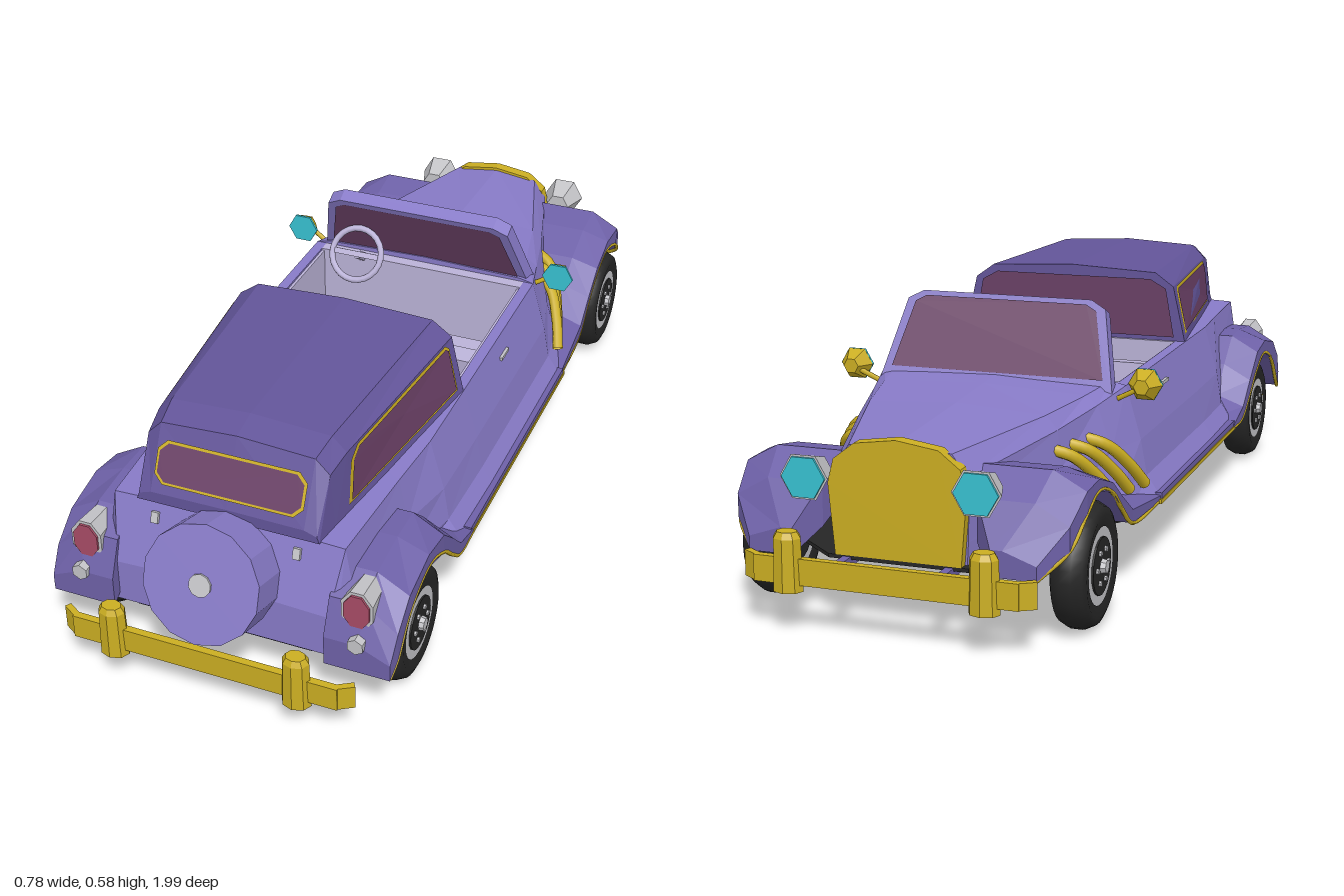
import * as THREE from 'three';

const mat = (name, color, side = THREE.FrontSide) => {
  const m = new THREE.MeshStandardMaterial({ color, side });
  m.name = name;
  return m;
};

export function createModel() {
  const body = mat('purple paint', 0x887bc8);
  const wing = mat('fender purple', 0x6e61a8);
  const top = mat('dark purple roof', 0x63559a);
  const gold = mat('gold trim', 0xcbae22, THREE.DoubleSide);
  const glass = mat('plum glass', 0x6a4066, THREE.DoubleSide);
  const black = mat('black rubber', 0x262626);
  const chrome = mat('light grey metal', 0xc4c4c8);
  const teal = mat('teal lens', 0x38c2d2);
  const red = mat('red lens', 0xa84c66);
  const trim = mat('lavender interior', 0xbbb3d8);
  const car = new THREE.Group();
  car.name = 'convertible';

  const add = (name, geo, m, pos = [0, 0, 0], rot = [0, 0, 0], parent = car) => {
    const mesh = new THREE.Mesh(geo, m);
    mesh.name = name;
    mesh.position.set(...pos);
    mesh.rotation.set(...rot);
    parent.add(mesh);
    return mesh;
  };
  const box = (name, size, m, pos, rot, parent) => add(name, new THREE.BoxGeometry(...size), m, pos, rot, parent);
  const flat = (geo) => {
    const g = geo.toNonIndexed();
    g.computeVertexNormals();
    return g;
  };
  const disc = (r1, r2, h, n, spin = 0) => flat(new THREE.CylinderGeometry(r1, r2, h, n).rotateY(spin).rotateX(Math.PI / 2));
  const tube = (pts, r, n = 24, sides = 6) =>
    new THREE.TubeGeometry(new THREE.CatmullRomCurve3(pts.map((p) => new THREE.Vector3(...p)), false, 'centripetal'), n, r, sides);
  const fromTriangles = (tris) => {
    const g = new THREE.BufferGeometry();
    g.setAttribute('position', new THREE.Float32BufferAttribute(tris.flat(), 3));
    g.computeVertexNormals();
    return g;
  };
  const centre = (ring) => [0, 1, 2].map((k) => ring.reduce((a, p) => a + p[k], 0) / ring.length);

  // Skin over rings listed from +z to -z, each anticlockwise as seen from +z; s = -1 mirrors in x
  const loft = (rings, s = 1, caps = true) => {
    const t = [];
    const tri = (a, b, c) => t.push(...(s > 0 ? [a, b, c] : [a, c, b]).map((p) => [p[0] * s, p[1], p[2]]));
    const n = rings[0].length;
    for (let i = 0; i < n; i++) {
      const j = (i + 1) % n;
      for (let r = 0; r + 1 < rings.length; r++) {
        const a = rings[r], b = rings[r + 1];
        tri(a[i], b[i], b[j]);
        tri(a[i], b[j], a[j]);
      }
      if (caps) {
        const first = rings[0], last = rings[rings.length - 1];
        tri(centre(first), first[i], first[j]);
        tri(centre(last), last[j], last[i]);
      }
    }
    return fromTriangles(t);
  };
  // Symmetric ring from a right-hand profile that ends on the centre line
  const ring = (z, half) => [
    ...half.map(([x, y]) => [x, y, z]),
    ...half.slice(0, -1).reverse().map(([x, y]) => [-x, y, z])];

  // Rear body, cockpit sides and bonnet
  add('rearBody', loft([
    ring(0.875, [[0.25, 0.15], [0.255, 0.18], [0.255, 0.2], [0.24, 0.25], [0, 0.26]]),
    ring(0.825, [[0.27, 0.15], [0.275, 0.2], [0.275, 0.3], [0.26, 0.395], [0, 0.405]]),
    ring(0.57, [[0.29, 0.15], [0.295, 0.2], [0.295, 0.29], [0.275, 0.395], [0, 0.405]]),
    ring(0.42, [[0.37, 0.15], [0.335, 0.2], [0.322, 0.28], [0.288, 0.398], [0, 0.405]]),
    ring(0.21, [[0.375, 0.15], [0.34, 0.2], [0.325, 0.28], [0.29, 0.4], [0, 0.405]])]), body);
  const tub = [[0.375, 0.15], [0.34, 0.2], [0.325, 0.28], [0.29, 0.4], [0.265, 0.4], [0.265, 0.2], [0, 0.2]];
  add('cockpitSides', loft([ring(0.21, tub), ring(-0.3, tub)], 1, false), body);
  add('bonnet', loft([
    ring(-0.3, [[0.375, 0.15], [0.34, 0.2], [0.325, 0.28], [0.29, 0.4], [0.255, 0.408], [0, 0.415]]),
    ring(-0.42, [[0.34, 0.15], [0.32, 0.2], [0.295, 0.28], [0.262, 0.38], [0.235, 0.4], [0, 0.41]]),
    ring(-0.58, [[0.235, 0.15], [0.235, 0.2], [0.235, 0.28], [0.225, 0.36], [0.2, 0.39], [0, 0.402]]),
    ring(-0.88, [[0.14, 0.15], [0.143, 0.2], [0.145, 0.28], [0.143, 0.33], [0.11, 0.375], [0, 0.39]])]), body);

  // Underbody
  const pan = new THREE.Shape([[0.2, 0.87], [0.285, 0.72], [0.285, 0.52], [0.36, 0.43], [0.36, -0.45], [0.28, -0.56], [0.27, -0.8], [0.15, -0.9],
    [-0.15, -0.9], [-0.27, -0.8], [-0.28, -0.56], [-0.36, -0.45], [-0.36, 0.43], [-0.285, 0.52], [-0.285, 0.72], [-0.2, 0.87]].map((p) => new THREE.Vector2(...p)));
  add('underbody', new THREE.ExtrudeGeometry(pan, { depth: 0.008, bevelEnabled: false }).rotateX(Math.PI / 2), black, [0, 0.152, 0]);

  // Hardtop, narrowing to the rear
  add('hardtop', loft([
    ring(0.83, [[0.205, 0.395], [0.2, 0.41], [0.172, 0.42], [0, 0.422]]),
    ring(0.765, [[0.213, 0.395], [0.203, 0.52], [0.172, 0.552], [0, 0.562]]),
    ring(0.7, [[0.222, 0.395], [0.212, 0.535], [0.18, 0.567], [0, 0.577]]),
    ring(0.21, [[0.29, 0.395], [0.258, 0.535], [0.212, 0.568], [0, 0.578]])]), top);
  const panel = (pts, z) => new THREE.ShapeGeometry(new THREE.Shape(pts.map(([x, y]) => new THREE.Vector2(x, y)))).translate(0, 0, z);
  add('dividerGlass', panel([[-0.262, 0.41], [0.262, 0.41], [0.24, 0.53], [0.2, 0.552], [-0.2, 0.552], [-0.24, 0.53]], 0.206), glass);

  // Rear window
  const rearWindow = new THREE.Group();
  rearWindow.name = 'rearWindow';
  rearWindow.position.set(0, 0.483, 0.802);
  rearWindow.rotation.x = -0.44;
  car.add(rearWindow);
  const chamfered = (w, h, c) => [[w, -h + c], [w, h - c], [w - c, h], [c - w, h], [-w, h - c], [-w, c - h], [c - w, -h], [w - c, -h]];
  add('rearWindowFrame', panel(chamfered(0.167, 0.047, 0.02), 0.004), gold, undefined, undefined, rearWindow);
  add('rearWindowGlass', panel(chamfered(0.161, 0.041, 0.018), 0.006), glass, undefined, undefined, rearWindow);

  // Side windows lie on the sloping hardtop sides
  const sideX = (z, y) => {
    const t = (z - 0.21) / 0.49, u = (y - 0.395) / 0.14;
    return THREE.MathUtils.lerp(0.29 - 0.032 * u, 0.222 - 0.01 * u, t);
  };
  const sidePane = (pts, s, off) => {
    const p = pts.map(([z, y]) => [s * (sideX(z, y) + off), y, z]);
    return fromTriangles(p.flatMap((a, i) => {
      const b = p[(i + 1) % p.length];
      return s > 0 ? [centre(p), b, a] : [centre(p), a, b];
    }));
  };

  // Windscreen
  const screen = new THREE.Group();
  screen.name = 'windscreen';
  screen.position.set(0, 0.39, -0.335);
  screen.rotation.x = 0.42;
  car.add(screen);
  const outline = [[-0.275, -0.01], [0.275, -0.01], [0.235, 0.18], [0.2, 0.2], [-0.2, 0.2], [-0.235, 0.18]];
  const pane = [[-0.25, 0.02], [0.25, 0.02], [0.215, 0.174], [0.19, 0.188], [-0.19, 0.188], [-0.215, 0.174]];
  add('windscreenFrame', new THREE.ExtrudeGeometry(new THREE.Shape(outline.map((p) => new THREE.Vector2(...p))),
    { depth: 0.036, bevelEnabled: false }), body, [0, 0, -0.02], undefined, screen);
  for (const z of [-0.023, 0.019]) add('windscreenGlass', panel(pane, z), glass, undefined, undefined, screen);

  // Interior
  box('floor', [0.53, 0.02, 0.51], trim, [0, 0.205, -0.045]);
  box('rearPanel', [0.53, 0.2, 0.01], trim, [0, 0.3, 0.207]);
  box('dashboard', [0.53, 0.2, 0.04], trim, [0, 0.3, -0.29]);
  box('seatCushion', [0.5, 0.08, 0.17], trim, [0, 0.255, -0.075]);
  box('seatBack', [0.51, 0.16, 0.05], trim, [0, 0.3, 0.03], [0.1, 0, 0]);
  box('rearBench', [0.52, 0.1, 0.1], trim, [0, 0.265, 0.15]);
  for (const s of [1, -1]) box('doorLining', [0.008, 0.19, 0.51], trim, [s * 0.262, 0.3, -0.045]);
  add('steeringWheel', new THREE.TorusGeometry(0.065, 0.008, 8, 24), trim, [-0.155, 0.425, -0.235], [-0.5, 0, 0]);
  box('steeringSpoke', [0.125, 0.014, 0.008], trim, [-0.155, 0.425, -0.235], [-0.5, 0, 0]);
  add('steeringColumn', tube([[-0.155, 0.425, -0.235], [-0.155, 0.38, -0.3]], 0.012, 2), trim);

  // Radiator grille
  const arch = new THREE.Shape([[-0.135, 0.15], [0.135, 0.15], [0.148, 0.3], [0.135, 0.35], [0.09, 0.385], [0, 0.398],
    [-0.09, 0.385], [-0.135, 0.35], [-0.148, 0.3]].map((p) => new THREE.Vector2(...p)));
  add('grille', new THREE.ExtrudeGeometry(arch, { depth: 0.03, bevelEnabled: false }), gold, [0, 0, -0.9]);

  // Spare wheel cover
  const spare = new THREE.Group();
  spare.name = 'spareWheel';
  spare.position.set(0, 0.308, 0.91);
  spare.rotation.x = -0.33;
  car.add(spare);
  add('spareCover', disc(0.13, 0.13, 0.1, 14), body, undefined, undefined, spare);
  add('spareHub', disc(0.025, 0.025, 0.008, 10), chrome, [0, 0, 0.051], undefined, spare);

  // Bumpers
  for (const [name, e, w] of [['rear', 1, 0.325], ['front', -1, 0.305]]) {
    box(name + 'BumperBar', [w * 2 - 0.05, 0.055, 0.016], gold, [0, 0.132, e * 0.965]);
    for (const s of [1, -1]) {
      box(name + 'BumperEnd', [0.04, 0.055, 0.014], gold, [s * (w - 0.015), 0.132, e * 0.955], [0, s * e * 0.55, 0]);
      add(name + 'BumperGuard', flat(new THREE.CylinderGeometry(0.03, 0.033, 0.11, 8)), gold, [s * 0.208, 0.145, e * 0.965]).scale.z = 0.8;
      add(name + 'BumperGuardCap', flat(new THREE.CylinderGeometry(0.022, 0.03, 0.013, 8)), gold, [s * 0.208, 0.2065, e * 0.965]).scale.z = 0.8;
    }
  }

  // Fender stations: z, top, lower edge, outer x, inner x
  const fenders = {
    rear: [[0.9, 0.22, 0.15, 0.385, 0.24], [0.865, 0.3, 0.175, 0.388, 0.24], [0.8, 0.335, 0.245, 0.388, 0.24],
      [0.69, 0.345, 0.285, 0.388, 0.24], [0.6, 0.343, 0.255, 0.388, 0.24], [0.53, 0.28, 0.195, 0.385, 0.24],
      [0.47, 0.21, 0.152, 0.382, 0.24], [0.38, 0.165, 0.147, 0.38, 0.24]],
    front: [[-0.3, 0.165, 0.147, 0.375, 0.2], [-0.5, 0.205, 0.15, 0.367, 0.2], [-0.57, 0.25, 0.2, 0.365, 0.18],
      [-0.64, 0.295, 0.255, 0.365, 0.16], [-0.735, 0.33, 0.285, 0.365, 0.15], [-0.82, 0.345, 0.26, 0.367, 0.14],
      [-0.89, 0.295, 0.205, 0.355, 0.165], [-0.94, 0.21, 0.155, 0.305, 0.21]] };
  const tyre = new THREE.LatheGeometry([[0.08, -0.034], [0.105, -0.0385], [0.12, -0.032], [0.13, -0.012], [0.13, 0.012],
    [0.12, 0.032], [0.105, 0.0385], [0.08, 0.034]].map((p) => new THREE.Vector2(...p)), 32).rotateX(Math.PI / 2);

  for (const s of [1, -1]) {
    for (const [end, st] of Object.entries(fenders)) {
      add(end + 'Fender', loft(st.map(([z, t, b, x, inner]) => {
        const shoulder = b + (t - b) * 0.55;
        return [[inner, b, z], [x, b, z], [x, shoulder, z], [x - 0.07, t, z], [inner, t, z]];
      }), s), wing);
      add(end + 'FenderTrim', tube(st.map(([z, , b, x]) => [s * (x - 0.003), b, z * 0.995]), 0.005, 40), gold);
    }
    // Running board
    box('runningBoard', [0.06, 0.016, 0.7], wing, [s * 0.348, 0.157, 0.04]);
    box('sillTrim', [0.008, 0.01, 0.72], gold, [s * 0.376, 0.147, 0.04]);

    // Wheels
    for (const z of [0.69, -0.735]) {
      const wheel = new THREE.Group();
      wheel.name = 'wheel';
      wheel.position.set(s * 0.335, 0.13, z);
      wheel.rotation.y = s * Math.PI / 2;
      car.add(wheel);
      add('tyre', tyre, black, undefined, undefined, wheel);
      add('rim', disc(0.084, 0.084, 0.066, 24), chrome, undefined, undefined, wheel);
      add('wheelDisc', disc(0.06, 0.06, 0.074, 20), black, undefined, undefined, wheel);
      add('hub', disc(0.014, 0.018, 0.02, 8), chrome, [0, 0, 0.038], undefined, wheel);
      for (let i = 0; i < 6; i++) {
        const a = i * Math.PI / 3;
        add('wheelNut', disc(0.006, 0.006, 0.012, 6), chrome, [0.036 * Math.cos(a), 0.036 * Math.sin(a), 0.036], undefined, wheel);
      }
    }

    // Side windows
    add('sideWindowFrame', sidePane([[0.235, 0.415], [0.712, 0.415], [0.69, 0.51], [0.66, 0.532], [0.25, 0.532], [0.235, 0.52]], s, 0.002), gold);
    add('sideWindowGlass', sidePane([[0.242, 0.421], [0.703, 0.421], [0.682, 0.507], [0.656, 0.526], [0.253, 0.526], [0.242, 0.517]], s, 0.004), glass);

    // Slanted exhaust pipes
    for (let i = 0; i < 3; i++) {
      const dz = -0.058 * i, dx = -0.018 * i;
      add('sidePipe', tube([[s * (0.35 + dx), 0.195, -0.35 + dz], [s * (0.328 + dx), 0.25, -0.4 + dz],
        [s * (0.29 + dx), 0.305, -0.455 + dz], [s * (0.235 + dx), 0.325, -0.48 + dz]], 0.013, 16, 8), gold);
    }

    // Headlights and front bumper brackets
    add('headlight', disc(0.03, 0.052, 0.066, 6, Math.PI / 6), chrome, [s * 0.182, 0.317, -0.903]);
    add('headlightLens', disc(0.047, 0.047, 0.008, 6, Math.PI / 6), teal, [s * 0.182, 0.317, -0.937]);
    box('bumperBracket', [0.018, 0.02, 0.14], wing, [s * 0.11, 0.14, -0.89]);

    // Mirrors
    add('mirrorShell', disc(0.039, 0.018, 0.035, 6, Math.PI / 6), gold, [s * 0.343, 0.413, -0.35]);
    add('mirrorGlass', disc(0.039, 0.039, 0.006, 6, Math.PI / 6), teal, [s * 0.343, 0.413, -0.33]);
    add('mirrorArm', tube([[s * 0.275, 0.375, -0.34], [s * 0.34, 0.41, -0.355]], 0.006, 2), gold);

    // Tail lights
    add('tailLight', disc(0.05, 0.042, 0.07, 8, Math.PI / 8), chrome, [s * 0.306, 0.292, 0.845]).scale.x = 0.75;
    add('tailLightLens', disc(0.043, 0.043, 0.008, 8, Math.PI / 8), red, [s * 0.306, 0.292, 0.881]).scale.x = 0.7;
    add('reverseLight', disc(0.019, 0.019, 0.03, 6), chrome, [s * 0.313, 0.224, 0.895]);

    // Handles and hinges
    box('doorHandle', [0.012, 0.008, 0.05], chrome, [s * 0.303, 0.355, -0.035]);
    box('bootHinge', [0.016, 0.024, 0.01], chrome, [s * 0.16, 0.365, 0.84], [-0.33, 0, 0]);
  }
  return car;
}
